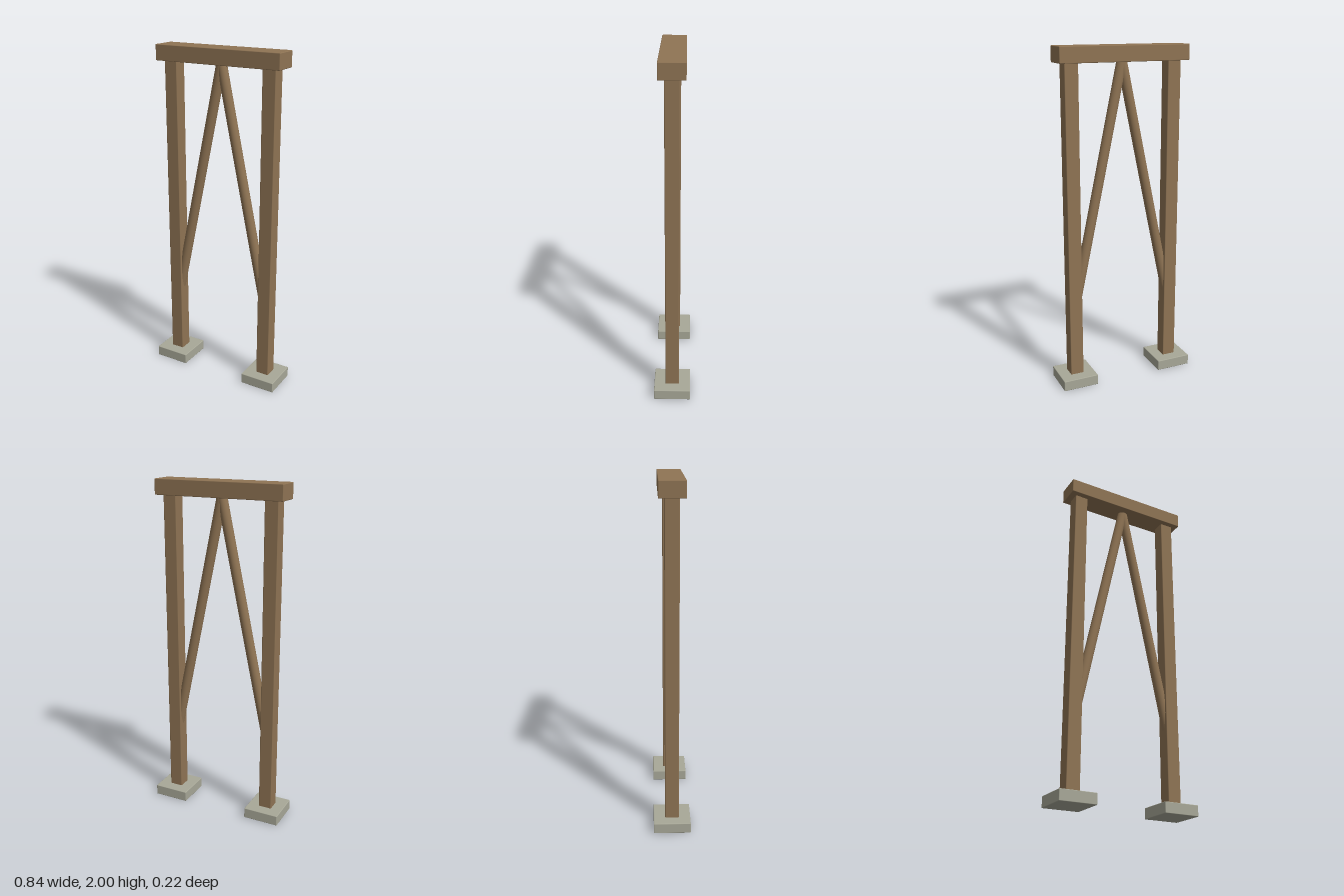
import * as THREE from 'three';
import { RoundedBoxGeometry } from 'three/addons/geometries/RoundedBoxGeometry.js';

export function createModel() {
  const model = new THREE.Group();
  model.name = 'timberTrestle';
  const wood = new THREE.MeshStandardMaterial({ color: 0x8f7454 });
  const stone = new THREE.MeshStandardMaterial({ color: 0xa8a898 });

  const add = (name, geometry, material, x, y, z = 0) => {
    const mesh = new THREE.Mesh(geometry, material);
    mesh.name = name;
    mesh.position.set(x, y, z);
    model.add(mesh);
    return mesh;
  };
  // Box with slightly eased edges, standing between two heights
  const block = (name, material, x, w, y0, y1, d) =>
    add(name, new RoundedBoxGeometry(w, y1 - y0, d, 2, 0.004), material, x, (y0 + y1) / 2);

  block('topBeam', wood, 0, 0.78, 1.91, 2, 0.145);

  for (const [side, s] of [['left', 1], ['right', -1]]) {
    const x = s * 0.3125;
    block(side + 'FootPad', stone, x, 0.215, 0, 0.063, 0.215);
    block(side + 'Post', wood, x, 0.08, 0.058, 1.915, 0.08);

    // Round brace from inside the post up into the beam centre
    const from = new THREE.Vector3(x, 0.445, 0);
    const to = new THREE.Vector3(0, 1.915, 0);
    const dir = to.clone().sub(from);
    const mid = from.clone().add(to).multiplyScalar(0.5);
    const brace = add(side + 'Brace', new THREE.CylinderGeometry(0.029, 0.029, dir.length(), 24),
      wood, mid.x, mid.y);
    brace.quaternion.setFromUnitVectors(new THREE.Vector3(0, 1, 0), dir.normalize());
  }
  return model;
}
